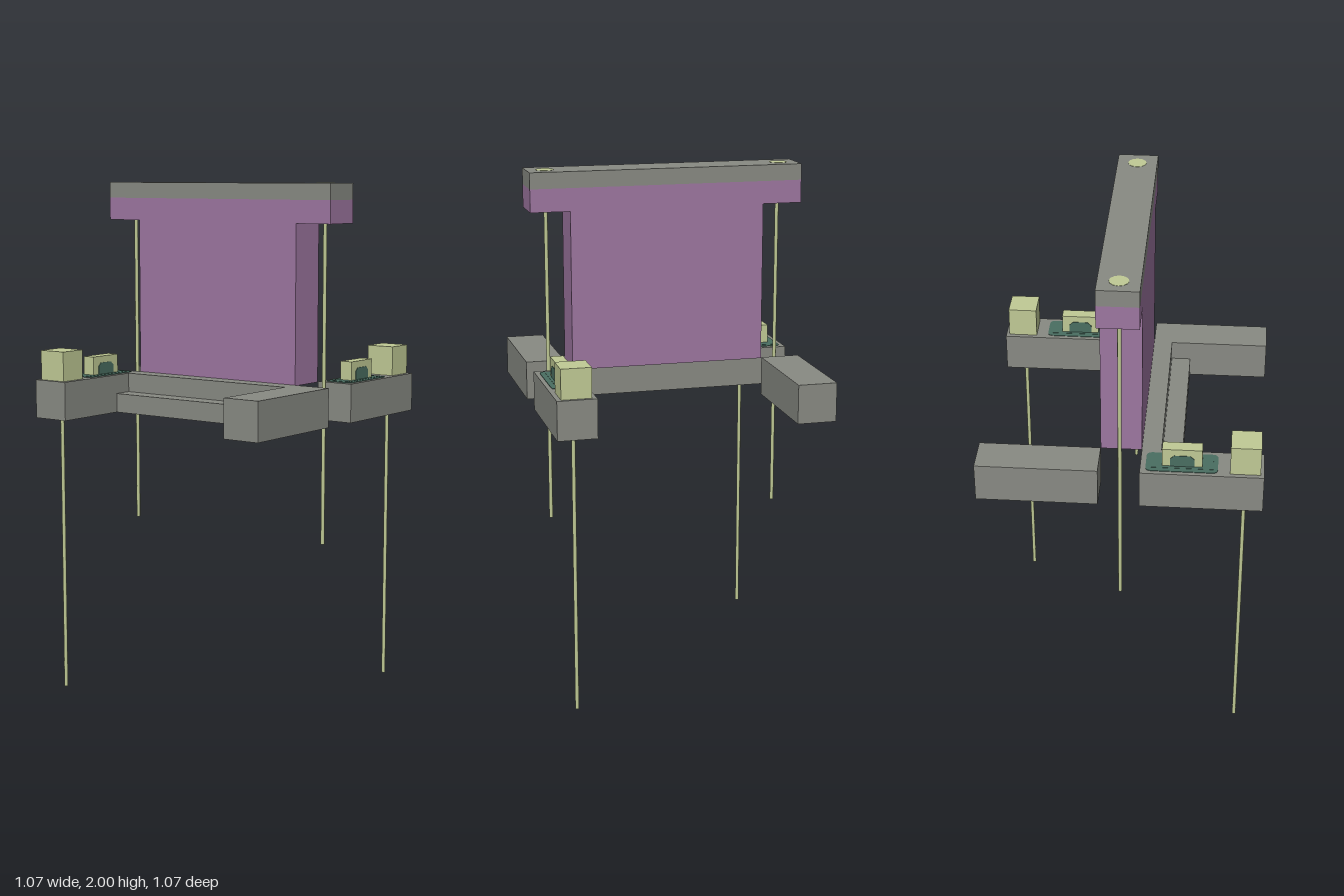
import * as THREE from 'three';

function material(name, color) {
  const m = new THREE.MeshStandardMaterial({ color, side: THREE.DoubleSide });
  m.name = name;
  return m;
}

export function createModel() {
  const grey = material('grey', 0x888a83);
  const purple = material('purple', 0x9d76a0);
  const yellow = material('paleYellow', 0xc0ca95);
  const green = material('darkGreen', 0x4a6e61);
  const model = new THREE.Group();
  model.name = 'model';

  function add(name, geometry, mat, parent = model) {
    const mesh = new THREE.Mesh(geometry, mat);
    mesh.name = name;
    parent.add(mesh);
    return mesh;
  }

  // Box given by its lower and upper limits on each axis
  function box(name, [x0, x1], [y0, y1], [z0, z1], mat, parent, openBottom = false) {
    const g = new THREE.BoxGeometry(x1 - x0, y1 - y0, z1 - z0);
    if (openBottom) {
      const index = Array.from(g.index.array);
      index.splice(18, 6);
      g.setIndex(index);
      g.clearGroups();
    }
    g.translate((x0 + x1) / 2, (y0 + y1) / 2, (z0 + z1) / 2);
    return add(name, g, mat, parent);
  }

  function rod(name, x, z, y0, y1, parent) {
    const g = new THREE.CylinderGeometry(0.0075, 0.0075, y1 - y0, 8);
    g.translate(x, (y0 + y1) / 2, z);
    return add(name, g, yellow, parent);
  }

  // Upright panel and its two-coloured head beam
  box('panel', [-0.38, 0.38], [1.237, 1.85], [-0.077, 0.077], purple);
  box('beamLower', [-0.533, 0.533], [1.85, 1.938], [-0.077, 0.077], purple);
  box('beamUpper', [-0.533, 0.533], [1.938, 2], [-0.077, 0.077], grey);

  // Hanging rods and their round caps on the beam
  for (const side of [-1, 1]) {
    rod('hangingRod', side * 0.46, 0, 0.62, 1.85);
    const cap = new THREE.CylinderGeometry(0.036, 0.036, 0.002, 12);
    cap.translate(side * 0.462, 2, 0);
    add('rodCap', cap, yellow);
  }

  // Four hollow arms, open below
  for (const sx of [-1, 1]) {
    for (const sz of [-1, 1]) {
      const xs = sx > 0 ? [0.382, 0.533] : [-0.533, -0.382];
      const zs = sz > 0 ? [0.077, 0.533] : [-0.533, -0.077];
      box('arm', xs, [1.09, 1.24], zs, grey, model, true);
    }
  }

  // Stepped front bar, an open folded strip
  const profile = [[0.077, 1.09], [0.077, 1.24], [0.15, 1.24], [0.15, 1.165], [0.225, 1.165], [0.225, 1.09]];
  const corners = [];
  for (let i = 0; i < profile.length - 1; i++) {
    const [z0, y0] = profile[i];
    const [z1, y1] = profile[i + 1];
    const a = [-0.382, y0, z0], b = [-0.382, y1, z1], c = [0.382, y1, z1], d = [0.382, y0, z0];
    corners.push(...a, ...b, ...c, ...a, ...c, ...d);
  }
  const strip = new THREE.BufferGeometry();
  strip.setAttribute('position', new THREE.Float32BufferAttribute(corners, 3));
  strip.computeVertexNormals();
  add('steppedBar', strip, grey);

  // Rounded rectangle for the green surround
  const w = 0.058, h = 0.133, r = 0.022;
  const surround = new THREE.Shape();
  surround.moveTo(-w + r, -h);
  surround.lineTo(w - r, -h).quadraticCurveTo(w, -h, w, -h + r);
  surround.lineTo(w, h - r).quadraticCurveTo(w, h, w - r, h);
  surround.lineTo(-w + r, h).quadraticCurveTo(-w, h, -w, h - r);
  surround.lineTo(-w, -h + r).quadraticCurveTo(-w, -h, -w + r, -h);

  // Chamfered patch for the flanks of the switch block
  const patch = new THREE.Shape();
  patch.moveTo(-0.045, 1.24);
  patch.lineTo(0.045, 1.24).lineTo(0.045, 1.275).lineTo(0.03, 1.289);
  patch.lineTo(-0.03, 1.289).lineTo(-0.045, 1.275);

  // Fittings on two opposite arms, the second turned half round
  for (const turn of [0, Math.PI]) {
    const fittings = new THREE.Group();
    fittings.name = 'armFittings';
    fittings.rotation.y = turn;
    model.add(fittings);

    rod('leg', 0.46, -0.463, 0, 1.235, fittings);
    box('legCap', [0.4, 0.515], [1.24, 1.355], [-0.52, -0.408], yellow, fittings);

    const plate = new THREE.ExtrudeGeometry(surround, { depth: 0.002, bevelEnabled: false, curveSegments: 4 });
    plate.rotateX(-Math.PI / 2);
    plate.translate(0.458, 1.24, -0.23);
    add('switchSurround', plate, green, fittings);
    box('switchBody', [0.42, 0.496], [1.125, 1.243], [-0.346, -0.115], green, fittings);
    box('switchBlock', [0.433, 0.483], [1.24, 1.315], [-0.305, -0.157], yellow, fittings);

    for (const x of [0.431, 0.483]) {
      const g = new THREE.ExtrudeGeometry(patch, { depth: 0.002, bevelEnabled: false });
      g.rotateY(Math.PI / 2);
      g.translate(x, 0, -0.231);
      add('switchPatch', g, green, fittings);
    }
  }
  return model;
}
